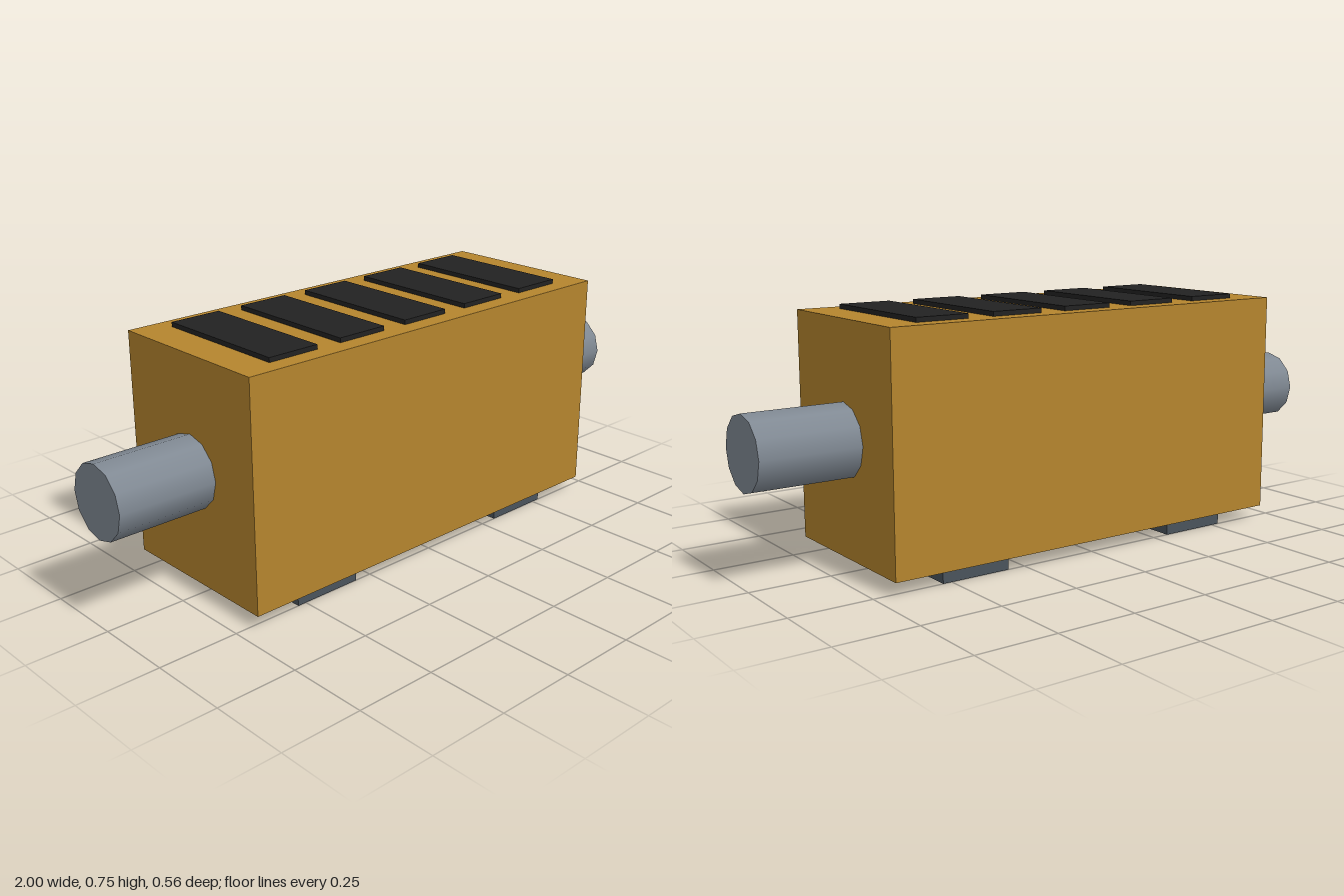
import * as THREE from 'three';

const paint = (color) => new THREE.MeshStandardMaterial({ color });

export function createModel() {
  const model = new THREE.Group();
  const casing = paint(0xb5852e);
  const steel = paint(0x808993);
  const darkSteel = paint(0x4a535c);
  const black = paint(0x222222);

  const add = (name, geometry, material, x, y, z = 0) => {
    const mesh = new THREE.Mesh(geometry, material);
    mesh.name = name;
    mesh.position.set(x, y, z);
    model.add(mesh);
    return mesh;
  };

  // Main housing
  add('body', new THREE.BoxGeometry(1.389, 0.694, 0.556), casing, 0, 0.389);

  // Row of flat vent slats on the top
  const slat = new THREE.BoxGeometry(0.167, 0.028, 0.444);
  for (let i = -2; i <= 2; i++) add(`ventSlat${i + 3}`, slat, black, i * 0.25, 0.736);

  // Mirrored twelve-sided pipes and mounting feet
  const pipe = new THREE.CylinderGeometry(0.111, 0.111, 0.306, 12).rotateZ(-Math.PI / 2);
  const foot = new THREE.BoxGeometry(0.222, 0.042, 0.5);
  for (const [side, s] of [['left', 1], ['right', -1]]) {
    const end = add(`${side}Pipe`, pipe, steel, s * 0.847, 0.389);
    if (s < 0) end.rotation.y = Math.PI;
    add(`${side}Foot`, foot, darkSteel, s * 0.417, 0.021);
  }
  return model;
}
